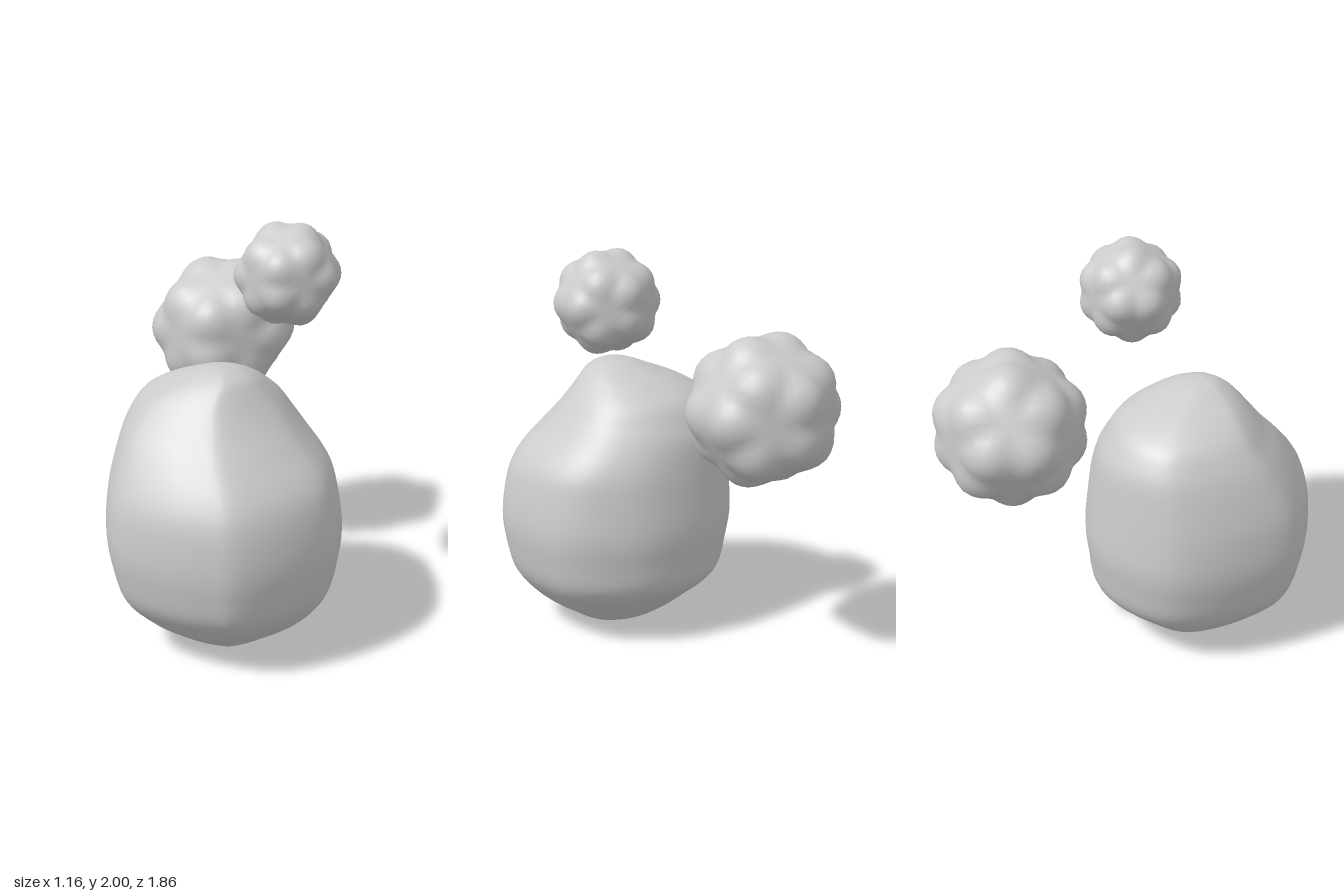
import * as THREE from 'three';
import { mergeVertices } from 'three/addons/utils/BufferGeometryUtils.js';

const material = new THREE.MeshStandardMaterial({ color: 0xcccccc });

// The twenty corner directions of a dodecahedron, where the pebbles bulge
function bulgeDirections() {
  const p = (1 + Math.sqrt(5)) / 2, s = [-1, 1], dirs = [];
  for (const a of s) for (const b of s) {
    dirs.push([0, a / p, b * p], [a / p, b * p, 0], [a * p, 0, b / p]);
    for (const c of s) dirs.push([a, b, c]);
  }
  return dirs.map(d => new THREE.Vector3(...d).normalize());
}

// Lumpy sphere: radius swells toward the nearest bulge direction
function pebble(name, size, x, y, z) {
  let geo = new THREE.IcosahedronGeometry(1, 9);
  geo.deleteAttribute('uv');
  geo.deleteAttribute('normal');
  geo = mergeVertices(geo, 1e-4);
  const dirs = bulgeDirections(), pos = geo.attributes.position, v = new THREE.Vector3();
  for (let i = 0; i < pos.count; i++) {
    v.fromBufferAttribute(pos, i).normalize();
    const d = Math.max(...dirs.map(k => k.dot(v)));
    const t = Math.max(0, (d - 0.795) / 0.205);
    v.multiplyScalar(size * (0.928 + 0.137 * t ** 3));
    pos.setXYZ(i, v.x, v.y, v.z);
  }
  geo.computeVertexNormals();
  const mesh = new THREE.Mesh(geo, material);
  mesh.name = name;
  mesh.position.set(x, y, z);
  return mesh;
}

// Pear-shaped boulder: one plan outline fitted to the extents of each level
function boulder() {
  const outline = new THREE.CatmullRomCurve3([
    [-0.12, -0.215], [0.15, -0.195], [0.36, -0.09], [0.48, 0.025], [0.545, 0.17], [0.575, 0.39],
    [0.555, 0.54], [0.4, 0.76], [0.2, 0.91], [0.08, 0.922], [-0.12, 0.9], [-0.36, 0.81], [-0.44, 0.735],
    [-0.535, 0.51], [-0.578, 0.27], [-0.555, 0.12], [-0.44, -0.05], [-0.29, -0.165],
  ].map(([x, z]) => new THREE.Vector3(x, 0, z)), true);

  // y, xMin, xMax, zMin, zMax
  const levels = [
    [0.005, 0, 0, 0.35, 0.35], [0.015, -0.16, 0.17, 0.19, 0.5], [0.08, -0.29, 0.29, 0.08, 0.61],
    [0.17, -0.4, 0.415, -0.03, 0.73], [0.3, -0.51, 0.52, -0.17, 0.86], [0.45, -0.555, 0.56, -0.2, 0.905],
    [0.6, -0.578, 0.575, -0.215, 0.922], [0.78, -0.567, 0.55, -0.2, 0.905], [0.91, -0.545, 0.505, -0.185, 0.85],
    [1.05, -0.51, 0.39, -0.158, 0.75], [1.14, -0.47, 0.32, -0.115, 0.67], [1.22, -0.41, 0.26, -0.06, 0.605],
    [1.29, -0.3, 0.2, 0.05, 0.545], [1.34, -0.18, 0.15, 0.16, 0.49], [1.375, -0.09, 0.08, 0.26, 0.43],
    [1.388, 0, 0, 0.37, 0.37],
  ];
  const curve = f => new THREE.CatmullRomCurve3(levels.map(f), false, 'catmullrom', 0.5);
  const low = curve(l => new THREE.Vector3(l[1], l[0], l[3]));
  const high = curve(l => new THREE.Vector3(l[2], l[0], l[4]));

  const rows = 60, cols = 64, pos = [], index = [];
  for (let i = 0; i <= rows; i++) {
    const a = low.getPoint(i / rows), b = high.getPoint(i / rows);
    for (let j = 0; j < cols; j++) {
      const p = outline.getPoint(j / cols);
      pos.push(
        THREE.MathUtils.lerp(a.x, b.x, (p.x + 0.578) / 1.153), a.y,
        THREE.MathUtils.lerp(a.z, b.z, (p.z + 0.215) / 1.137));
      if (i === rows) continue;
      const k = i * cols + j, n = i * cols + (j + 1) % cols;
      index.push(k, k + cols, n, n, k + cols, n + cols);
    }
  }
  const geo = new THREE.BufferGeometry();
  geo.setAttribute('position', new THREE.Float32BufferAttribute(pos, 3));
  geo.setIndex(index);
  geo.computeVertexNormals();
  const mesh = new THREE.Mesh(geo, material);
  mesh.name = 'boulder';
  return mesh;
}

export function createModel() {
  const group = new THREE.Group();
  group.name = 'rocks';
  group.add(
    boulder(),
    pebble('mediumRock', 0.352, -0.228, 1.298, -0.575),
    pebble('smallRock', 0.24, 0.238, 1.76, 0.035));
  return group;
}
